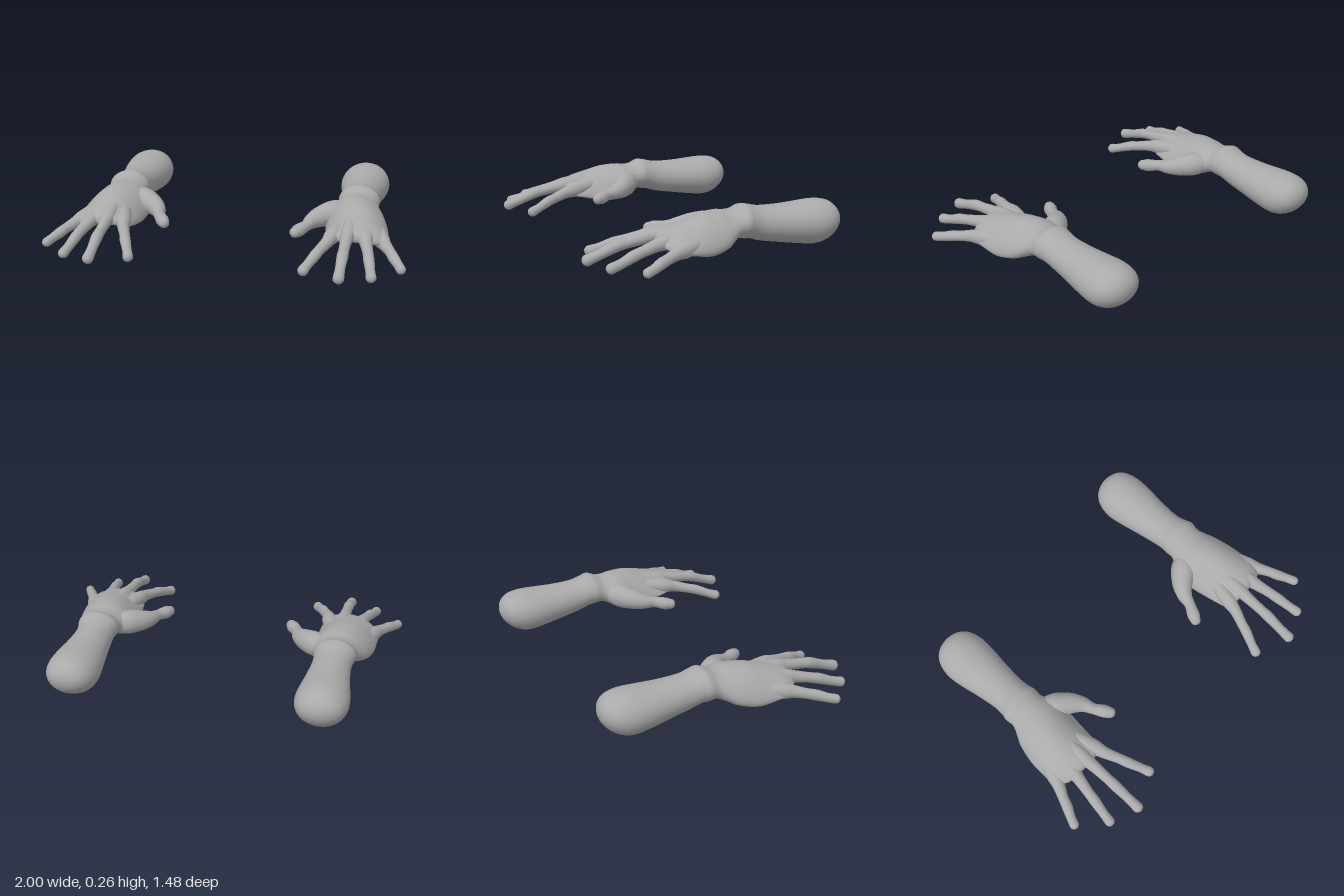
import * as THREE from 'three';

// Skin a closed tube over stations [x, y, z, halfWidth, halfHeight, droop].
// droop lowers the sides of a section so the hand arches.
function loft(stations, sides, steps, fixedDir) {
  const spine = new THREE.CatmullRomCurve3(
    stations.map(s => new THREE.Vector3(s[0], s[1], s[2])), false, 'catmullrom', 0.5);
  const sizes = new THREE.CatmullRomCurve3(
    stations.map(s => new THREE.Vector3(s[3], s[4], s[5] || 0)), false, 'catmullrom', 0.5);
  const rings = (stations.length - 1) * steps;
  const pos = [], index = [];
  for (let i = 0; i <= rings; i++) {
    const t = i / rings;
    const c = spine.getPoint(t), size = sizes.getPoint(t);
    const dir = fixedDir || spine.getTangent(t);
    const side = new THREE.Vector3(0, 1, 0).cross(dir).normalize();
    const up = dir.clone().cross(side);
    for (let j = 0; j < sides; j++) {
      const a = (j / sides) * Math.PI * 2;
      const p = c.clone()
        .addScaledVector(side, Math.max(size.x, 0) * Math.cos(a))
        .addScaledVector(up, Math.max(size.y, 0) * Math.sin(a) - size.z * Math.cos(a) ** 2);
      pos.push(p.x, p.y, p.z);
      if (i < rings) {
        const k = (j + 1) % sides, m = i * sides;
        index.push(m + j, m + k, m + sides + j, m + k, m + sides + k, m + sides + j);
      }
    }
  }
  const g = new THREE.BufferGeometry();
  g.setAttribute('position', new THREE.Float32BufferAttribute(pos, 3));
  g.setIndex(index);
  g.computeVertexNormals();
  return g;
}

// Digit from [x, y, z, radius] points, finished with a round tip
function digit(points) {
  const st = points.map(([x, y, z, r]) => [x, y, z, r, r]);
  const n = points.length;
  const [x, y, z, r] = points[n - 1];
  const end = new THREE.Vector3(x, y, z);
  const dir = end.clone().sub(new THREE.Vector3(...points[n - 2].slice(0, 3))).normalize();
  for (const [d, k] of [[0.5, 0.87], [0.87, 0.5], [1, 0]]) {
    const p = end.clone().addScaledVector(dir, r * d);
    st.push([p.x, p.y, p.z, r * k, r * k]);
  }
  return loft(st, 16, 5);
}

// Mirror a geometry across x and keep its faces outward
function mirrored(g) {
  const m = g.clone().scale(-1, 1, 1);
  const idx = m.index.array;
  for (let i = 0; i < idx.length; i += 3) {
    [idx[i + 1], idx[i + 2]] = [idx[i + 2], idx[i + 1]];
  }
  m.computeVertexNormals();
  return m;
}

export function createModel() {
  const skin = new THREE.MeshStandardMaterial({ color: 0xaaaaaa });
  skin.name = 'grey skin';

  const parts = {
    // Rounded elbow, forearm, wrist and arched palm in one skin
    forearmAndPalm: loft([
      [0.685, 0.145, -0.742, 0, 0],
      [0.685, 0.144, -0.735, 0.045, 0.035],
      [0.685, 0.142, -0.715, 0.088, 0.068],
      [0.685, 0.138, -0.68, 0.120, 0.098],
      [0.685, 0.131, -0.63, 0.139, 0.117],
      [0.685, 0.128, -0.57, 0.145, 0.122],
      [0.685, 0.131, -0.48, 0.136, 0.114],
      [0.684, 0.137, -0.38, 0.121, 0.104],
      [0.684, 0.149, -0.26, 0.108, 0.095],
      [0.686, 0.167, -0.19, 0.111, 0.092],
      [0.688, 0.172, -0.15, 0.119, 0.092],
      [0.686, 0.167, -0.10, 0.117, 0.078, 0.01],
      [0.682, 0.158, -0.05, 0.145, 0.083, 0.03],
      [0.685, 0.155, 0.0, 0.168, 0.092, 0.055],
      [0.703, 0.147, 0.1, 0.176, 0.092, 0.07],
      [0.713, 0.145, 0.2, 0.174, 0.067, 0.065],
      [0.718, 0.145, 0.27, 0.171, 0.047, 0.055],
      [0.705, 0.140, 0.32, 0.150, 0.038, 0.040],
      [0.690, 0.136, 0.35, 0.115, 0.025, 0.020],
      [0.685, 0.134, 0.362, 0.0, 0.0],
    ], 40, 4, new THREE.Vector3(0, 0, 1)),
    thumb: digit([
      [0.63, 0.150, -0.06, 0.050], [0.56, 0.142, -0.01, 0.070],
      [0.49, 0.132, 0.045, 0.060], [0.447, 0.122, 0.10, 0.045],
      [0.424, 0.115, 0.16, 0.032], [0.392, 0.107, 0.215, 0.037],
      [0.375, 0.104, 0.245, 0.031],
    ]),
    indexFinger: digit([
      [0.620, 0.140, 0.20, 0.040], [0.590, 0.128, 0.31, 0.044],
      [0.572, 0.117, 0.38, 0.034], [0.540, 0.098, 0.46, 0.029],
      [0.522, 0.085, 0.51, 0.030], [0.492, 0.058, 0.58, 0.026],
      [0.475, 0.043, 0.625, 0.029],
    ]),
    middleFinger: digit([
      [0.675, 0.165, 0.20, 0.038], [0.675, 0.148, 0.31, 0.043],
      [0.673, 0.138, 0.38, 0.034], [0.672, 0.120, 0.49, 0.029],
      [0.672, 0.109, 0.55, 0.031], [0.671, 0.076, 0.64, 0.027],
      [0.671, 0.052, 0.712, 0.030],
    ]),
    ringFinger: digit([
      [0.745, 0.145, 0.20, 0.038], [0.768, 0.130, 0.31, 0.043],
      [0.780, 0.118, 0.38, 0.034], [0.797, 0.100, 0.46, 0.029],
      [0.808, 0.084, 0.52, 0.030], [0.822, 0.058, 0.59, 0.026],
      [0.832, 0.043, 0.647, 0.028],
    ]),
    littleFinger: digit([
      [0.815, 0.115, 0.15, 0.042], [0.850, 0.100, 0.25, 0.045],
      [0.876, 0.092, 0.31, 0.035], [0.908, 0.080, 0.37, 0.029],
      [0.930, 0.068, 0.42, 0.030], [0.957, 0.053, 0.47, 0.026],
      [0.976, 0.043, 0.513, 0.026],
    ]),
  };

  const model = new THREE.Group();
  model.name = 'pairOfArms';
  for (const side of ['left', 'right']) {
    const arm = new THREE.Group();
    arm.name = side + 'Arm';
    for (const [name, g] of Object.entries(parts)) {
      const mesh = new THREE.Mesh(side === 'left' ? g : mirrored(g), skin);
      mesh.name = name;
      arm.add(mesh);
    }
    model.add(arm);
  }
  return model;
}
